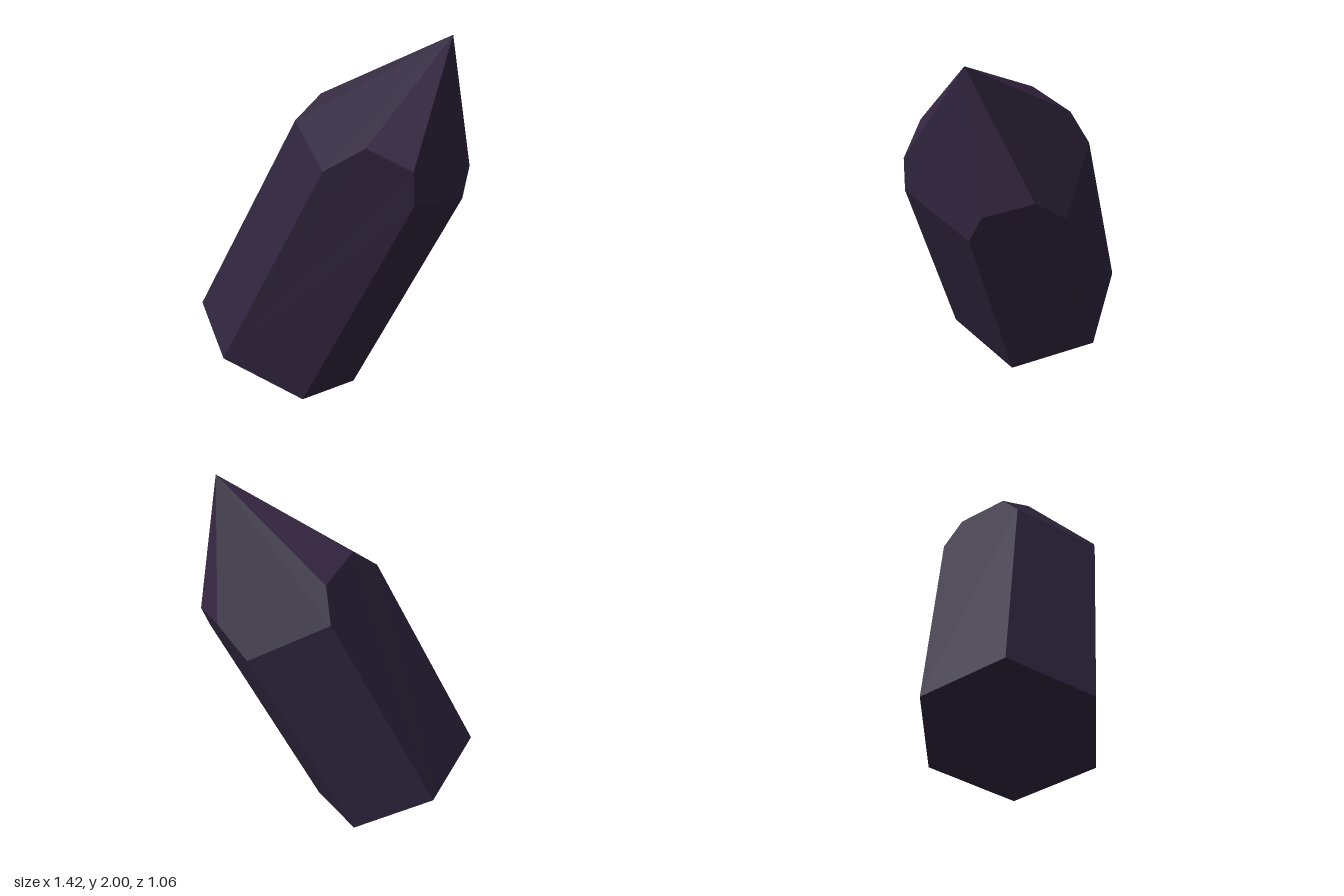
import * as THREE from 'three';

// Flat-faced geometry from convex polygons, each fanned from its first corner
function facets(polygons) {
  const pos = [];
  for (const p of polygons) {
    for (let i = 1; i < p.length - 1; i++) {
      for (const v of [p[0], p[i], p[i + 1]]) pos.push(v.x, v.y, v.z);
    }
  }
  const geo = new THREE.BufferGeometry();
  geo.setAttribute('position', new THREE.Float32BufferAttribute(pos, 3));
  geo.computeVertexNormals();
  return geo;
}

export function createModel() {
  const V = (x, y, z) => new THREE.Vector3(x, y, z);
  const violet = new THREE.MeshStandardMaterial({ color: 0x2e243c, flatShading: true });
  violet.name = 'darkViolet';
  const plum = new THREE.MeshStandardMaterial({ color: 0x362642, flatShading: true });
  plum.name = 'plum';

  // Base hexagon: three corners and their mirrors through the centre
  const centre = V(-0.295, 0.215, -0.083);
  const half = [V(-0.71, 0.43, -0.18), V(-0.6, 0.312, 0.27), V(-0.19, 0.1, 0.368)];
  const base = [...half, ...half.map(p => centre.clone().multiplyScalar(2).sub(p))];

  // Each long edge rises along the leaning axis to its own shoulder height
  const axis = V(0.478, 1, 0.143);
  const heights = [1.52, 1.39, 1.235, 1.135, 1.2, 1.42];
  const shoulder = base.map((p, i) => p.clone().addScaledVector(axis, heights[i] - p.y));

  // Upper corners of the bevels, and the point
  const upper = [
    V(-0.05, 1.645, -0.08), V(0.12, 1.52, 0.475), V(0.345, 1.41, 0.53),
    V(0.708, 1.29, 0.11), V(0.65, 1.345, -0.14), V(0.125, 1.59, -0.28),
  ];
  const tip = V(0.58, 2, 0.19);

  // Wide five-sided tip facets alternate with narrow triangular ones
  const shaft = [], wide = [], narrow = [];
  for (let i = 0; i < 6; i++) {
    const j = (i + 1) % 6;
    if (i % 2 === 0) {
      shaft.push([base[i], base[j], shoulder[j], shoulder[i]]);
      wide.push([tip, upper[i], shoulder[i], shoulder[j], upper[j]]);
    } else {
      shaft.push([base[i], base[j], shoulder[j], upper[j], upper[i], shoulder[i]]);
      narrow.push([tip, upper[i], upper[j]]);
    }
  }

  const group = new THREE.Group();
  group.name = 'crystal';
  const add = (name, polygons, material) => {
    const mesh = new THREE.Mesh(facets(polygons), material);
    mesh.name = name;
    group.add(mesh);
  };
  add('shaft', shaft, violet);
  add('baseFace', [[...base].reverse()], violet);
  add('wideTipFacets', wide, violet);
  add('narrowTipFacets', narrow, plum);
  return group;
}
